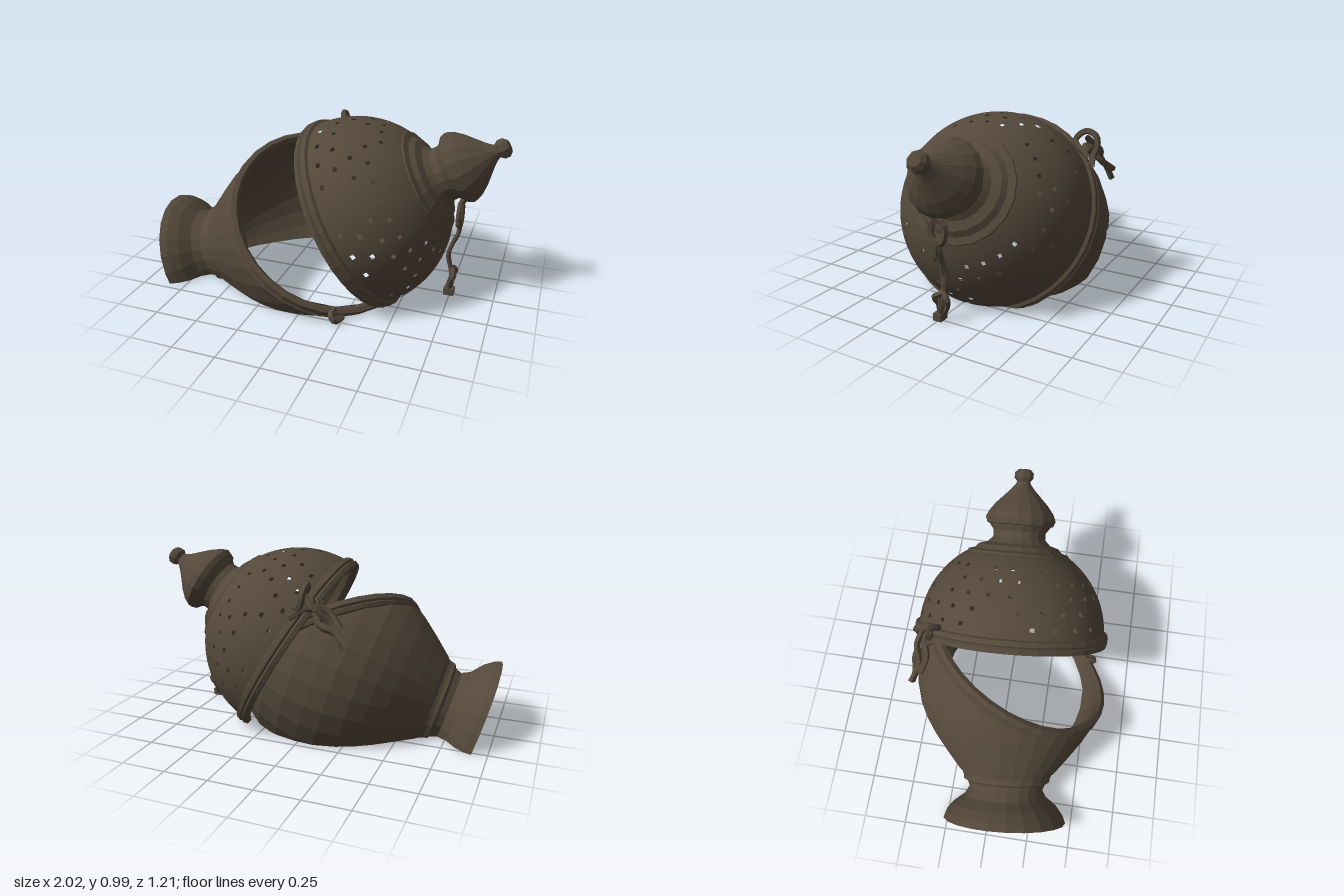
import * as THREE from 'three';

const V = (x, y, z) => new THREE.Vector3(x, y, z);
const bronze = new THREE.MeshStandardMaterial({ color: 0x54483a, side: THREE.DoubleSide });
bronze.name = 'dark bronze';
const ground = new THREE.Plane(V(0, 1, 0), 0);

// Matrix that stands a lathe's y axis along the given direction
function frame(origin, axis) {
  const q = new THREE.Quaternion().setFromUnitVectors(V(0, 1, 0), axis.clone().normalize());
  return new THREE.Matrix4().compose(origin, q, V(1, 1, 1));
}

// Keep only what lies on the plane's positive side, leaving flat facets
function clip(geometry, plane) {
  const pos = (geometry.index ? geometry.toNonIndexed() : geometry).attributes.position, out = [];
  for (let i = 0; i < pos.count; i += 3) {
    const tri = [0, 1, 2].map(k => V(0, 0, 0).fromBufferAttribute(pos, i + k));
    const poly = [];
    tri.forEach((a, k) => {
      const b = tri[(k + 1) % 3];
      const da = plane.distanceToPoint(a), db = plane.distanceToPoint(b);
      if (da >= 0) poly.push(a);
      if ((da >= 0) !== (db >= 0)) poly.push(a.clone().lerp(b, da / (da - db)));
    });
    for (let k = 2; k < poly.length; k++)
      for (const p of [poly[0], poly[k - 1], poly[k]]) out.push(p.x, p.y, p.z);
  }
  const g = new THREE.BufferGeometry();
  g.setAttribute('position', new THREE.Float32BufferAttribute(out, 3));
  g.computeVertexNormals();
  return g;
}

const lathe = (pts, sides) =>
  new THREE.LatheGeometry(pts.map(p => new THREE.Vector2(p[0], p[1])), sides);

// Points of a circular arc between two latitudes in degrees
function arc(r, from, to, steps) {
  return Array.from({ length: steps + 1 }, (_, i) => {
    const a = THREE.MathUtils.degToRad(from + (to - from) * i / steps);
    return [r * Math.cos(a), r * Math.sin(a)];
  });
}

const cord = (pts, r, steps = 16) => new THREE.TubeGeometry(
  new THREE.CatmullRomCurve3(pts.map(p => V(...p))), steps, r, 5, false);

export function createModel() {
  const model = new THREE.Group();
  model.name = 'tippedCenser';
  const add = (name, geometry, matrix) => {
    if (matrix) geometry.applyMatrix4(matrix);
    const mesh = new THREE.Mesh(clip(geometry, ground), bronze);
    mesh.name = name;
    model.add(mesh);
  };

  // Bowl: thin-walled, turned on the foot's axis, cut off aslant by the mouth
  const bowlCentre = V(-0.04, 0.31, 0.02);
  const base = frame(bowlCentre, V(0.95, 0.31, -0.086));
  const mouthAxis = V(0.52, 0.74, 0.42).normalize();
  const mouth = new THREE.Plane().setFromNormalAndCoplanarPoint(
    mouthAxis.clone().negate(), bowlCentre.clone().addScaledVector(mouthAxis, 0.12));
  const wall = [[0.24, -0.65], [0.29, -0.6], [0.37, -0.5], [0.445, -0.4], [0.5, -0.31], [0.54, -0.22],
    [0.568, -0.1], [0.572, 0], [0.56, 0.12], [0.52, 0.25], [0.45, 0.36], [0.36, 0.45], [0.24, 0.53]];
  const lining = wall.map(([r, t]) => [r - 0.022, t * 0.96]).reverse();
  const shell = lathe([[0, -0.65], ...wall], 28).applyMatrix4(base);
  add('bowl', clip(shell, mouth));
  add('bowlLining', clip(lathe([...lining, [0, -0.624]], 28).applyMatrix4(base), mouth));
  add('bowlRim', lathe([[0.565, 0.06], [0.583, 0.065], [0.59, 0.085], [0.578, 0.095],
    [0.588, 0.105], [0.582, 0.135], [0.555, 0.14], [0.535, 0.115], [0.545, 0.06], [0.565, 0.06]], 32),
    frame(bowlCentre, mouthAxis));

  // Flared hollow foot with a collar at the neck
  add('foot', lathe([[0.27, -0.62], [0.262, -0.64], [0.26, -0.66], [0.235, -0.675],
    [0.222, -0.71], [0.25, -0.76], [0.315, -0.81], [0.355, -0.86], [0.37, -0.9],
    [0.348, -0.9], [0.3, -0.82], [0.2, -0.71], [0.23, -0.62]], 22), base);

  // Domed lid: drop grid cells to pierce staggered rows of holes
  const lid = frame(V(0.17, 0.43, -0.02), V(0.858, 0.512, -0.05));
  const rows = 26, sides = 130;
  const dome = lathe(arc(0.557, 0, 58, rows), sides);
  const index = dome.index.array, kept = [];
  for (let c = 0; c < sides * rows; c++) {
    const col = Math.floor(c / rows), row = c % rows;
    const hole = row >= 4 && row <= 20 && row % 4 === 0 &&
      (col + (row % 8) / 2) % 5 === 0 && (col * 7 + row * 5) % 11 > 2;
    if (!hole) for (let k = 0; k < 6; k++) kept.push(index[c * 6 + k]);
  }
  dome.setIndex(kept);
  add('lidDome', dome, lid);
  add('lidRim', lathe([[0.545, -0.035], [0.575, -0.035], [0.582, -0.01], [0.57, 0],
    [0.582, 0.01], [0.575, 0.035], [0.55, 0.045], [0.535, 0], [0.545, -0.035]], 36), lid);

  // Stepped neck, bell and finial along the lid's axis
  add('lidNeck', lathe([[0.305, 0.45], [0.298, 0.48], [0.26, 0.49], [0.235, 0.515], [0.185, 0.53],
    [0.155, 0.56], [0.155, 0.6], [0.185, 0.64]], 18), lid);
  add('lidBell', lathe([[0.14, 0.625], [0.195, 0.64], [0.207, 0.672], [0.19, 0.71], [0.155, 0.755],
    [0.105, 0.805], [0.07, 0.84], [0.045, 0.87], [0.035, 0.89]], 16), lid);
  add('finial', lathe([[0.035, 0.87], [0.038, 0.885], [0.055, 0.905], [0.055, 0.935],
    [0.035, 0.955], [0, 0.958]], 8), lid);

  // Hanging chain: hook, ring, twisted strand and end toggle
  add('chainHook', cord([[0.81, 0.68, -0.02], [0.835, 0.63, -0.02], [0.79, 0.605, -0.02],
    [0.765, 0.56, -0.02]], 0.018));
  const ring = new THREE.TorusGeometry(0.045, 0.018, 5, 12);
  ring.scale(1, 1.4, 1).rotateY(Math.PI / 2).translate(0.77, 0.5, -0.022);
  add('chainRing', ring);
  for (const side of [-1, 1]) {
    add('chainStrand', cord([[0.775, 0.45, -0.02], [0.765, 0.38, -0.02 + side * 0.01],
      [0.74, 0.32, -0.02], [0.722, 0.25, -0.02 - side * 0.01], [0.735, 0.18, -0.02],
      [0.75, 0.12, -0.02 + side * 0.01], [0.752, 0.04, -0.01]], 0.013, 20));
    add('chainEnd', cord([[0.75, 0.16, -0.03], [0.765, 0.13, -0.02 + side * 0.04],
      [0.745, 0.09, -0.02 + side * 0.03], [0.74, 0, 0]], 0.016));
  }
  add('chainToggle', new THREE.BoxGeometry(0.06, 0.04, 0.05).translate(0.745, 0.02, 0));

  // Knotted hinge at the back with loose strands over the bowl
  add('hingeLoop', cord([[0, 0.76, -0.48], [-0.03, 0.84, -0.39], [-0.06, 0.89, -0.44],
    [-0.06, 0.865, -0.5], [-0.05, 0.81, -0.51], [-0.02, 0.74, -0.49]], 0.018, 20));
  add('hingeKnot', new THREE.IcosahedronGeometry(0.05, 0)
    .scale(1.2, 1, 0.8).translate(-0.06, 0.79, -0.455));
  const strands = [
    [[-0.03, 0.86, -0.46], [-0.12, 0.78, -0.5], [-0.2, 0.7, -0.48], [-0.29, 0.63, -0.52]],
    [[0.02, 0.72, -0.51], [-0.08, 0.78, -0.48], [-0.17, 0.76, -0.44], [-0.25, 0.68, -0.47]],
    [[-0.1, 0.8, -0.42], [-0.15, 0.7, -0.51], [-0.23, 0.66, -0.5], [-0.27, 0.58, -0.52]],
  ];
  for (const s of strands) add('hingeStrand', cord(s, 0.018));

  // Small catch on the front of the bowl rim
  add('rimCatch', cord([[0.2, 0.06, 0.47], [0.2, 0.04, 0.52], [0.22, 0.02, 0.52],
    [0.24, 0.01, 0.46]], 0.022, 8));
  return model;
}
